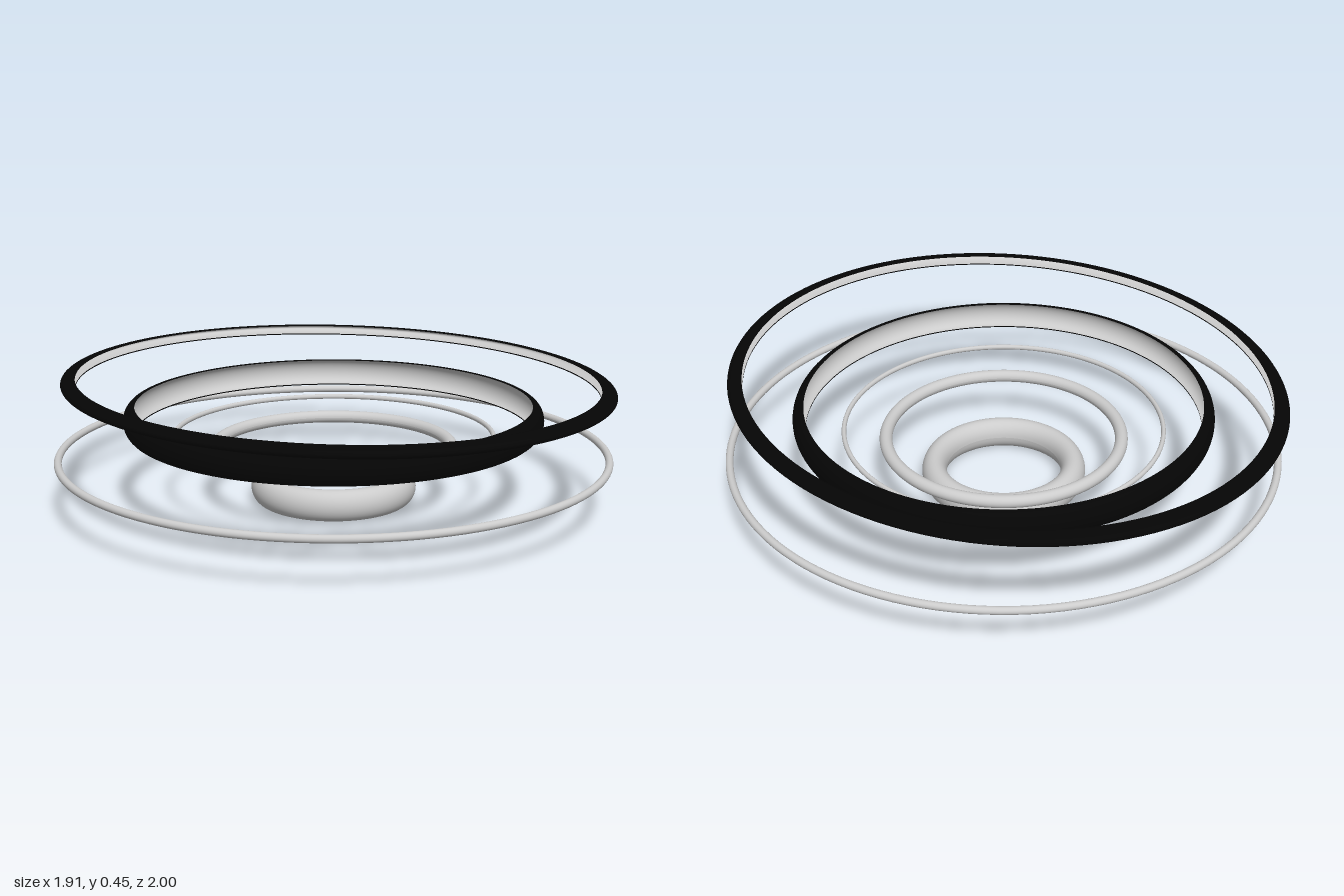
import * as THREE from 'three';

const grey = new THREE.MeshStandardMaterial({ color: 0xcccccc });
const black = new THREE.MeshStandardMaterial({ color: 0x050505 });

// Points of an elliptical arc (radii a, b) at distance R from the y axis
function arc(R, a, b, from, to, steps) {
  const points = [];
  for (let i = 0; i <= steps; i++) {
    const t = from + (to - from) * (i / steps);
    points.push(new THREE.Vector2(R + a * Math.cos(t), b * Math.sin(t)));
  }
  return points;
}

// Turns a profile round the y axis
function turn(name, profile, y, material) {
  const mesh = new THREE.Mesh(new THREE.LatheGeometry(profile, 128), material);
  mesh.name = name;
  mesh.position.y = y;
  return mesh;
}

// Closed round ring
function fullRing(name, R, y, a, b) {
  return turn(name, arc(R, a, b, -Math.PI, Math.PI, 32), y, grey);
}

// Thin-walled channel ring: dark outside and lips, grey hollow facing the centre
function channelRing(name, R, y, a, b, stretchZ) {
  const wall = 0.004;
  const h = Math.PI / 2;
  const hollow = arc(R, a - wall, b - wall, h, -h, 20);
  const shell = [hollow[20], ...arc(R, a, b, -h, h, 20), hollow[0]];
  const ring = new THREE.Group();
  ring.name = name;
  ring.add(turn(name + 'Outside', shell, y, black), turn(name + 'Inside', hollow, y, grey));
  ring.scale.z = stretchZ;
  return ring;
}

export function createModel() {
  const model = new THREE.Group();
  model.name = 'ringStack';
  model.add(
    fullRing('baseRing', 0.243, 0.054, 0.043, 0.054),
    fullRing('wideRing', 0.94, 0.177, 0.013, 0.013),
    fullRing('innerRing', 0.407, 0.195, 0.022, 0.022),
    fullRing('thinRing', 0.549, 0.238, 0.008, 0.009),
    channelRing('bandRing', 0.679, 0.304, 0.039, 0.05, 1),
    channelRing('topRing', 0.85, 0.427, 0.048, 0.019, 1.113) // oval
  );
  return model;
}
